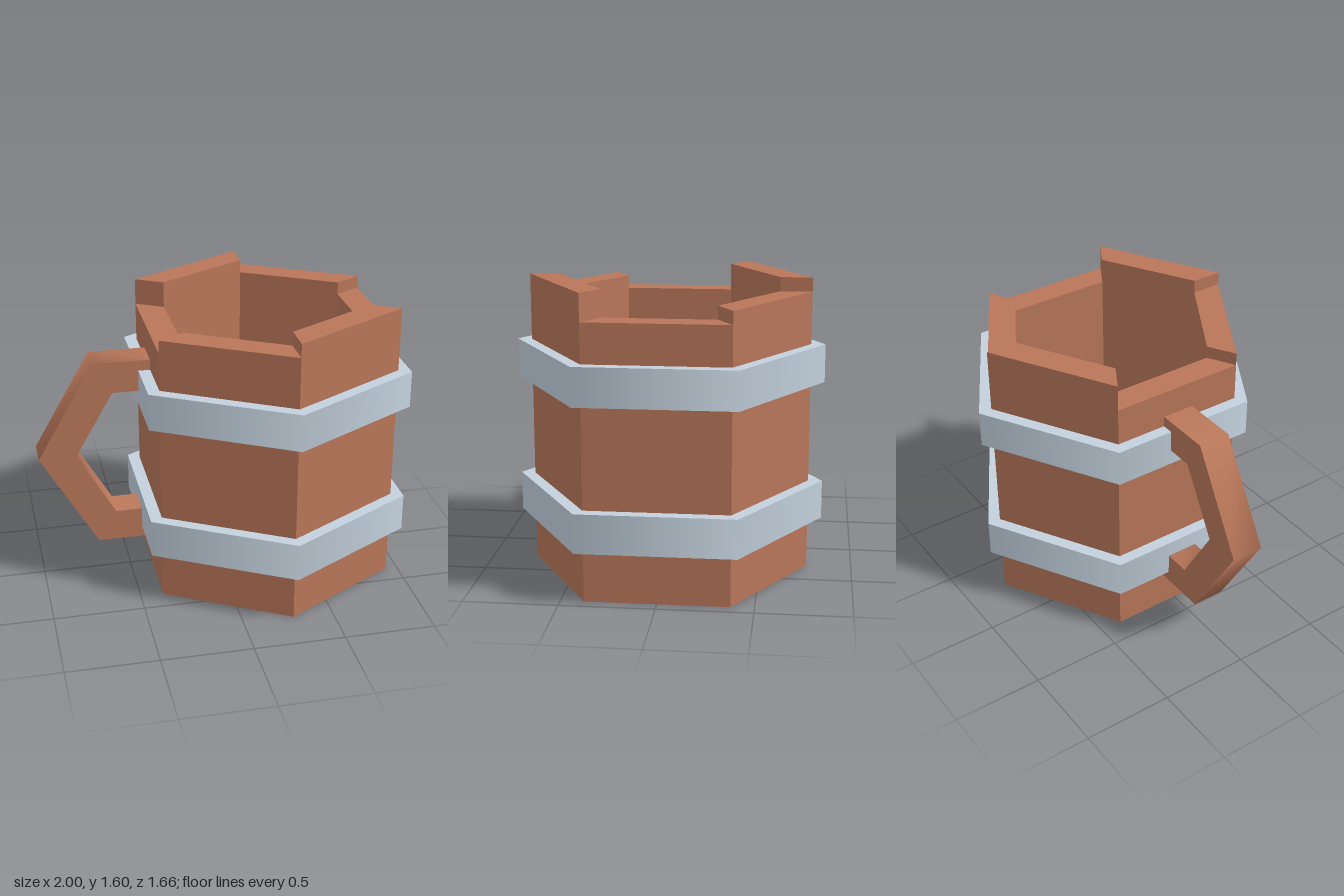
import * as THREE from 'three';
import { toCreasedNormals } from 'three/addons/utils/BufferGeometryUtils.js';

const wood = new THREE.MeshStandardMaterial({ color: 0xb87659 });
const metal = new THREE.MeshStandardMaterial({ color: 0xc3d1dd });

const OUTER = 0.755, INNER = 0.585, BAND = 0.83;

function add(parent, name, geometry, material) {
  const mesh = new THREE.Mesh(geometry, material);
  mesh.name = name;
  parent.add(mesh);
  return mesh;
}

const polar = (r, a) => new THREE.Vector2(r * Math.cos(a), r * Math.sin(a));

// One wall board: a mitred sixth of the hexagonal ring, raised to its height
function staveGeometry(index, height) {
  const a = (index * Math.PI) / 3 - Math.PI / 6, b = a + Math.PI / 3;
  const shape = new THREE.Shape([polar(INNER, a), polar(OUTER, a), polar(OUTER, b), polar(INNER, b)]);
  const geo = new THREE.ExtrudeGeometry(shape, { depth: height, bevelEnabled: false });
  return geo.rotateX(-Math.PI / 2);
}

// Hexagonal hoop with softly shaded sides and flat rims
function makeBand(name, bottom, top) {
  const band = new THREE.Group();
  band.name = name;
  const height = top - bottom;
  add(band, 'bandSide', new THREE.CylinderGeometry(BAND, BAND, height, 6, 1, true), metal);
  for (const s of [1, -1]) {
    const rim = new THREE.RingGeometry(OUTER - 0.02, BAND, 6, 1, Math.PI / 6);
    rim.rotateX((-s * Math.PI) / 2).translate(0, (s * height) / 2, 0);
    add(band, s > 0 ? 'bandTop' : 'bandUnderside', rim, metal);
  }
  band.position.y = (bottom + top) / 2;
  return band;
}

// Half of a hexagonal ring, its ends sunk into the wall
function handleGeometry() {
  const cx = -0.375, cy = 0.763, end = -0.3, width = 0.18;
  const half = (r) => {
    const h = r * Math.sin(Math.PI / 3);
    return [[end, cy + h], [cx - r / 2, cy + h], [cx - r, cy], [cx - r / 2, cy - h], [end, cy - h]];
  };
  const points = [...half(0.625), ...half(0.42).reverse()].map(([x, y]) => new THREE.Vector2(x, y));
  const geo = new THREE.ExtrudeGeometry(new THREE.Shape(points), { depth: width, bevelEnabled: false });
  geo.translate(0, 0, -width / 2);
  return toCreasedNormals(geo, 1.2);
}

export function createModel() {
  const model = new THREE.Group();
  model.name = 'tankard';

  // Barrel: six boards of three alternating heights around a floor
  const barrel = new THREE.Group();
  barrel.name = 'barrel';
  barrel.position.x = 0.28;
  model.add(barrel);
  const heights = [1.455, 1.525, 1.6];
  for (let i = 0; i < 6; i++) {
    add(barrel, `stave${i + 1}`, staveGeometry(i, heights[i % 3]), wood);
  }
  const floor = new THREE.CylinderGeometry(INNER, INNER, 0.17, 6).translate(0, 0.085, 0);
  add(barrel, 'floor', floor, wood);

  // Metal hoops
  barrel.add(makeBand('lowerBand', 0.28, 0.49), makeBand('upperBand', 1.04, 1.245));

  add(model, 'handle', handleGeometry(), wood);
  return model;
}
